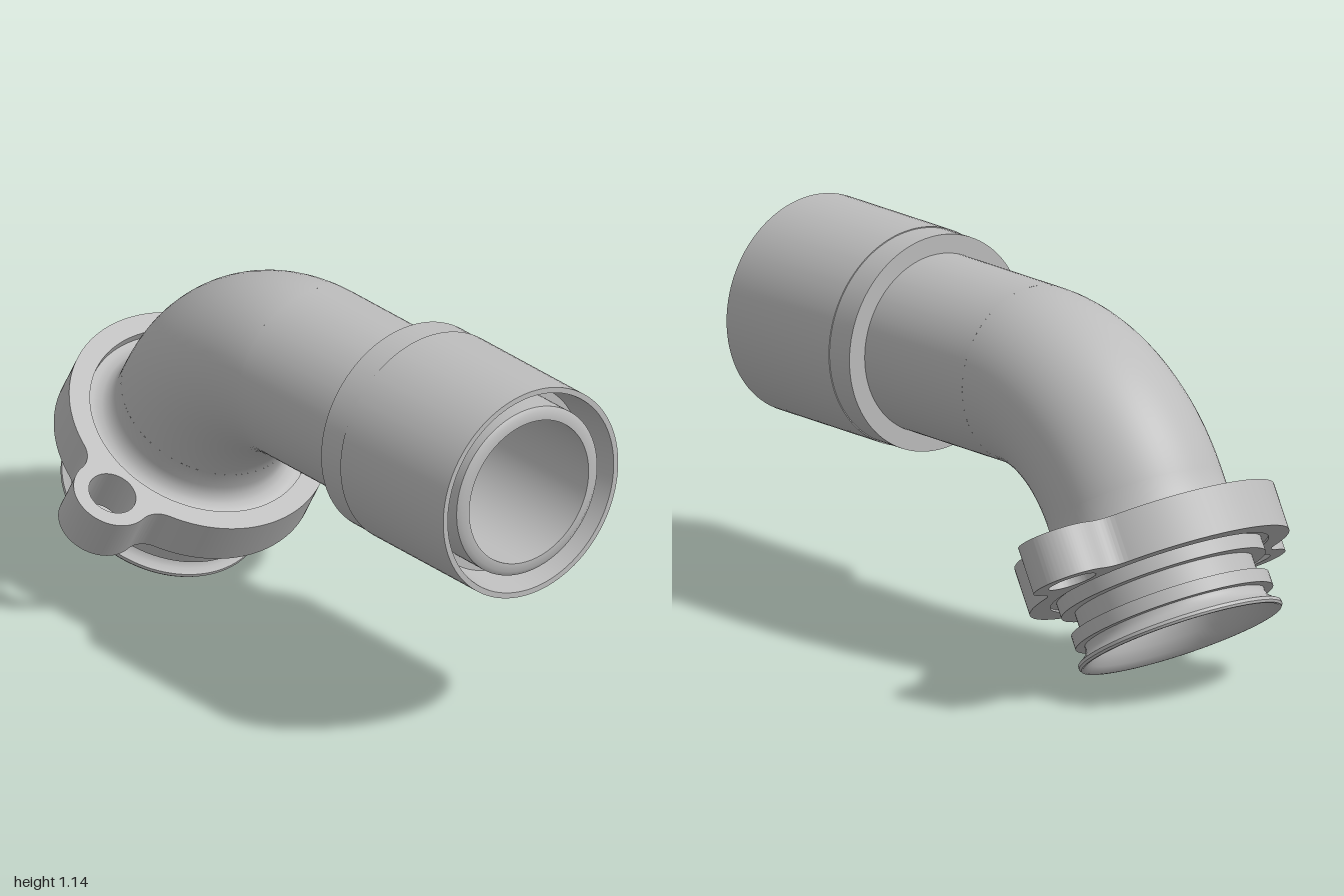
import * as THREE from 'three';
import { toCreasedNormals } from 'three/addons/utils/BufferGeometryUtils.js';

const AXIS_Y = 0.815, BEND_R = 0.55, BEND_X = -0.0375;
const PIPE_R = 0.27, BORE_R = 0.225, BEND_ANGLE = Math.PI / 3;

export function createModel() {
  const model = new THREE.Group();
  model.name = 'pipeElbow';
  const metal = new THREE.MeshStandardMaterial({ color: 0xbcbcbc, side: THREE.DoubleSide });
  metal.name = 'grey metal';

  const add = (parent, name, geometry) => {
    const mesh = new THREE.Mesh(geometry, metal);
    mesh.name = name;
    parent.add(mesh);
    return mesh;
  };
  // Turned part from [radius, height] pairs, with sharp edges kept
  const turned = (profile) => toCreasedNormals(
    new THREE.LatheGeometry(profile.map(([r, h]) => new THREE.Vector2(r, h)), 96), 0.6);

  // Straight outlet, lying along x
  const outlet = new THREE.Group();
  outlet.name = 'outlet';
  outlet.position.y = AXIS_Y;
  outlet.rotation.z = -Math.PI / 2;
  model.add(outlet);
  add(outlet, 'straightPipe', turned([
    [PIPE_R, BEND_X], [PIPE_R, 0.5], [0.265, 0.5], [0.265, 0.982], [0.25, 0.992],
    [BORE_R, 0.992], [BORE_R, BEND_X],
  ]));
  add(outlet, 'sleeve', turned([
    [0.26, 0.423], [0.327, 0.423], [0.327, 0.517], [0.33, 0.517], [0.33, 1],
    [0.313, 1], [0.29, 0.87], [0.26, 0.87],
  ]));

  // Sixty degree bend, outside wall and bore
  for (const [name, radius] of [['bendWall', PIPE_R], ['bendBore', BORE_R]]) {
    const bend = add(model, name, new THREE.TorusGeometry(BEND_R, radius, 64, 48, BEND_ANGLE));
    bend.position.set(BEND_X, AXIS_Y - BEND_R, 0);
    bend.rotation.z = Math.PI / 2;
  }

  // Inlet end, tilted to follow the bend; its origin is the open lower rim
  const inlet = new THREE.Group();
  const length = 0.44;
  inlet.name = 'inlet';
  inlet.position.set(
    BEND_X - BEND_R * Math.sin(BEND_ANGLE) - length * 0.5,
    AXIS_Y - BEND_R + BEND_R * Math.cos(BEND_ANGLE) - length * Math.sin(BEND_ANGLE), 0);
  inlet.rotation.z = -Math.PI / 6;
  model.add(inlet);
  add(inlet, 'groovedSpigot', turned([
    [BORE_R, length], [BORE_R, 0.14], [0.235, 0.09], [0.255, 0.045], [0.28, 0.015], [0.303, 0],
    [0.31, 0], [0.315, 0.007], [0.314, 0.017], [0.298, 0.027], [0.284, 0.04], [0.278, 0.055],
    [0.278, 0.066], [0.306, 0.066], [0.306, 0.108], [0.275, 0.108], [0.275, 0.168],
    [0.317, 0.168], [0.317, 0.213], [0.345, 0.213], [0.345, 0.325],
    [0.32, 0.325], [0.295, 0.335], [0.278, 0.355], [PIPE_R, 0.38], [PIPE_R, length],
  ]));

  // Flange outline: a disc with two bolt ears blended in by fillets
  const body = 0.402, ear = 0.12, fillet = 0.08, reach = 0.441, earAngle = 1.88;
  const d1 = body + fillet, d2 = ear + fillet;
  const A = Math.acos((d1 * d1 + reach * reach - d2 * d2) / (2 * d1 * reach));
  const B = Math.acos((d1 * d1 + d2 * d2 - reach * reach) / (2 * d1 * d2));
  const shape = new THREE.Shape();
  const arc = (dist, at, r, from, to, clockwise) =>
    shape.absarc(dist * Math.cos(at), dist * Math.sin(at), r, from, to, clockwise);
  const addHole = (x, y, r) => {
    const hole = new THREE.Path();
    hole.absarc(x, y, r, 0, Math.PI * 2, true);
    shape.holes.push(hole);
  };
  for (const a of [earAngle, earAngle + Math.PI]) {
    arc(d1, a - A, fillet, a - A + Math.PI, a - A + Math.PI - B, true);
    arc(reach, a, ear, a - A - B, a + A + B, false);
    arc(d1, a + A, fillet, a + A + Math.PI + B, a + A + Math.PI, true);
    arc(0, 0, body, a + A, a + Math.PI - A, false);
    addHole(reach * Math.cos(a), reach * Math.sin(a), 0.073);
  }
  addHole(0, 0, 0.338);
  const flange = new THREE.ExtrudeGeometry(shape, { depth: 0.145, bevelEnabled: false, curveSegments: 40 });
  flange.rotateX(-Math.PI / 2).translate(0, 0.207, 0);
  add(inlet, 'boltFlange', toCreasedNormals(flange, 0.6));

  return model;
}
